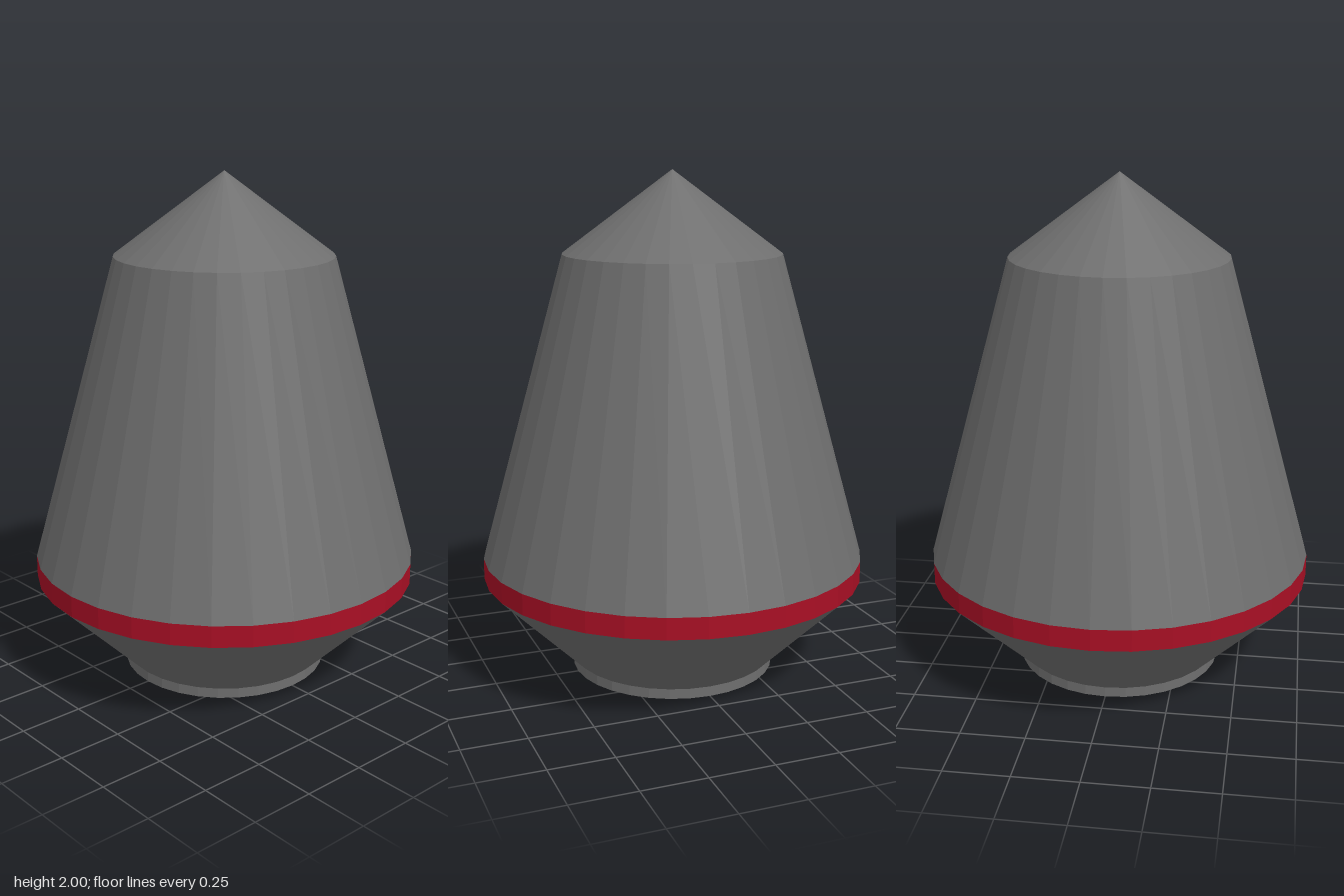
import * as THREE from 'three';

const SIDES = 32;

export function createModel() {
  const grey = new THREE.MeshStandardMaterial({ name: 'darkGrey', color: 0x6e6e6e });
  const red = new THREE.MeshStandardMaterial({ name: 'red', color: 0xa80f24 });
  const black = new THREE.MeshStandardMaterial({ name: 'black', color: 0x121212 });

  const model = new THREE.Group();
  model.name = 'taperedPod';

  // Faceted surface of revolution through [radius, height] points;
  // rising profiles face outward, falling ones inward
  function ring(name, profile, material) {
    const points = profile.map(([r, y]) => new THREE.Vector2(r, y));
    const geometry = new THREE.LatheGeometry(points, SIDES).toNonIndexed();
    geometry.computeVertexNormals();
    const mesh = new THREE.Mesh(geometry, material);
    mesh.name = name;
    model.add(mesh);
  }

  // Outer shell, bottom to top
  ring('baseCollar', [[0.41, 0], [0.41, 0.04]], grey);
  ring('lowerFlare', [[0.41, 0.04], [0.765, 0.39]], grey);
  ring('redBand', [[0.765, 0.39], [0.765, 0.474]], red);
  ring('taperedBody', [[0.765, 0.474], [0.43, 1.68]], grey);
  ring('pointedCap', [[0.43, 1.68], [0, 2]], grey);

  // Recess in the underside with a dark ceiling
  ring('recessRim', [[0.4, 0], [0.41, 0]], grey);
  ring('recessWall', [[0.4, 0.34], [0.4, 0]], grey);
  ring('recessCeiling', [[0, 0.34], [0.4, 0.34]], black);

  return model;
}
